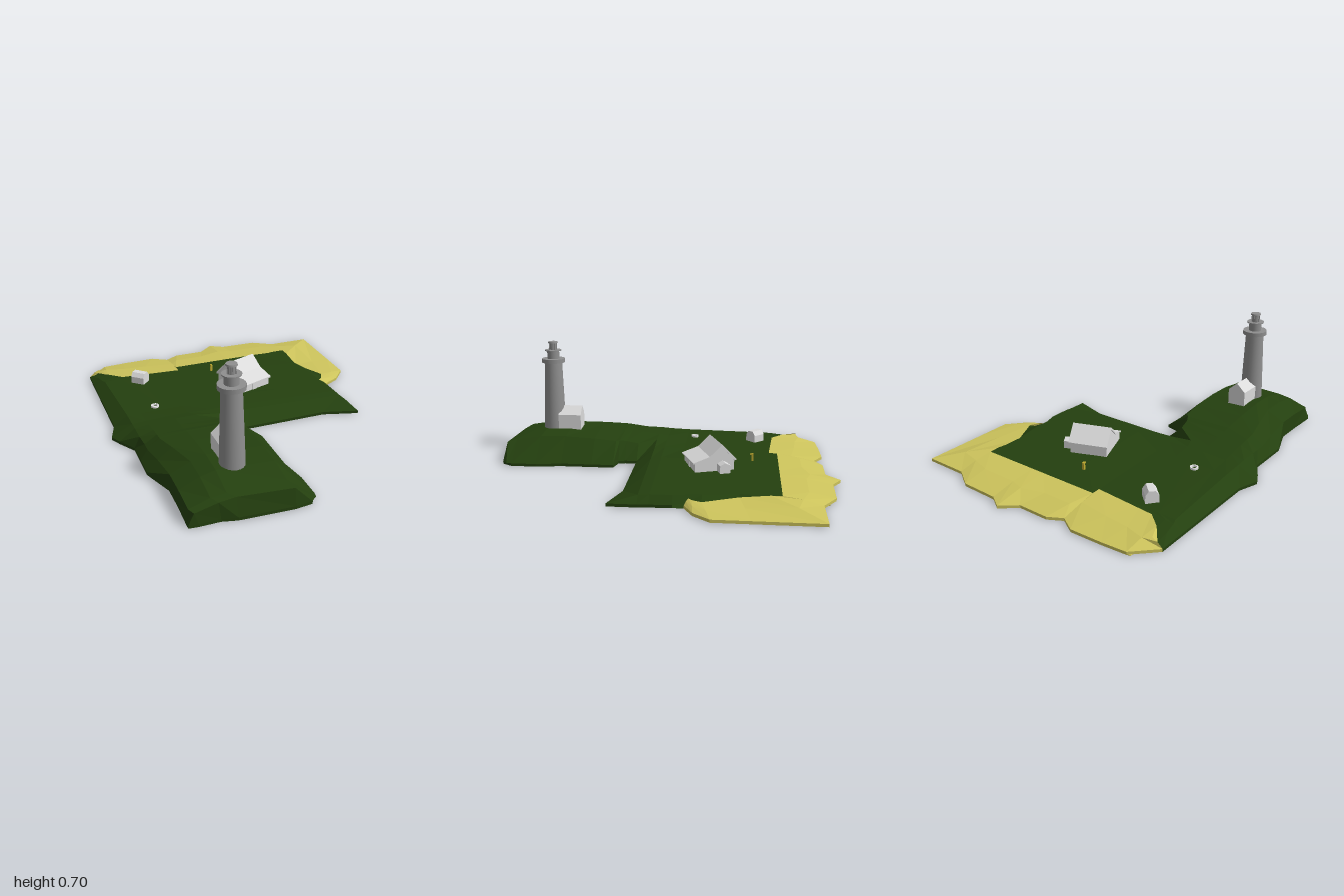
import * as THREE from 'three';

function material(name, color, side = THREE.FrontSide) {
  const m = new THREE.MeshStandardMaterial({ color, side });
  m.name = name;
  return m;
}

// Faceted skin through rows of [x, y, z] points
function skin(rows) {
  const p = [];
  for (let i = 0; i + 1 < rows.length; i++) {
    for (let j = 0; j + 1 < rows[i].length; j++) {
      const a = rows[i][j], b = rows[i + 1][j], c = rows[i + 1][j + 1], d = rows[i][j + 1];
      p.push(...a, ...b, ...c, ...a, ...c, ...d);
    }
  }
  const g = new THREE.BufferGeometry();
  g.setAttribute('position', new THREE.Float32BufferAttribute(p, 3));
  g.computeVertexNormals();
  return g;
}

// Row format: z, then x, y pairs
const toRow = ([z, ...xy]) => xy.filter((_, i) => i % 2 === 0).map((x, i) => [x, xy[2 * i + 1], z]);

// Solid with a gable profile [v, y], running along local x
function prism(profile, length) {
  const shape = new THREE.Shape(profile.map(([v, y]) => new THREE.Vector2(-v, y)));
  return new THREE.ExtrudeGeometry(shape, { depth: length, bevelEnabled: false })
    .translate(0, 0, -length / 2).rotateY(Math.PI / 2);
}

export function createModel() {
  const model = new THREE.Group();
  model.name = 'lighthouseIsland';
  const grass = material('darkGrass', 0x24400f, THREE.DoubleSide);
  const sand = material('sand', 0xcdc45c, THREE.DoubleSide);
  const stone = material('greyStone', 0x8f8f8f);
  const white = material('paleWall', 0xdcdcdc);
  const ring = material('whiteStone', 0xf2f2f2);
  const yellow = material('yellowPaint', 0xc0ac30);

  const add = (name, geometry, mat, x = 0, y = 0, z = 0, ry = 0, parent = model) => {
    const mesh = new THREE.Mesh(geometry, mat);
    mesh.name = name;
    mesh.position.set(x, y, z);
    mesh.rotation.y = ry;
    parent.add(mesh);
    return mesh;
  };

  // West meadow
  const meadow = [
    [-.80, -.76, .02, -.72, .03, -.70, .04, -.70, .04, -.70, .04, -.70, .04],
    [-.71, -.76, .02, -.72, .045, -.66, .05, -.66, .05, -.66, .05, -.66, .05],
    [-.64, -.76, .02, -.71, .055, -.66, .06, -.58, .06, -.58, .06, -.58, .06],
    [-.61, -.76, .02, -.70, .06, -.60, .063, -.49, .06, -.35, .06, -.22, .06],
    [-.10, -.76, .02, -.68, .075, -.60, .075, -.45, .075, -.35, .075, -.22, .075],
    [.02, -.80, .02, -.68, .08, -.60, .085, -.45, .09, -.35, .09, -.22, .085],
    [.08, -.77, .02, -.68, .085, -.60, .095, -.45, .10, -.33, .10, -.20, .085],
    [.18, -.71, .02, -.68, .085, -.60, .11, -.45, .115, -.20, .105, -.11, .02],
  ].map(toRow);
  add('westMeadow', skin(meadow), grass);

  // Raised headland under the tower
  const headland = [
    [.25, -.71, .02, -.67, .075, -.60, .12, -.45, .125, -.19, .12, -.11, .02],
    [.29, -.71, .02, -.67, .075, -.60, .125, -.45, .135, -.17, .13, -.10, .02],
    [.31, -.71, .02, -.67, .075, -.60, .127, -.45, .137, -.15, .13, -.015, .02],
    [.44, -.71, .02, -.65, .08, -.57, .14, -.45, .155, -.14, .145, -.015, .02],
    [.62, -.645, .02, -.64, .10, -.53, .15, -.45, .172, -.14, .155, -.015, .02],
    [.77, -.645, .02, -.64, .10, -.53, .15, -.45, .17, -.14, .152, .01, .02],
    [.92, -.65, .02, -.64, .09, -.53, .125, -.45, .135, -.14, .13, .01, .02],
    [.95, -.65, .02, -.62, .08, -.50, .11, -.41, .12, -.12, .115, .005, .02],
  ].map(toRow);
  const brow = headland.at(-1);
  brow[4][2] = .975;
  const foot = [[-.65, .02, .95], [-.60, .02, .955], [-.49, .02, .955], [-.41, .02, .975],
    [-.12, .02, .99], [-.03, .02, .98]];
  add('headland', skin([meadow.at(-1), ...headland, foot]), grass);

  // East meadow with its sloping bank
  const field = [
    [-.66, -.22, .06, 0, .06, .30, .06, .54, .055, .54, .055],
    [-.44, -.22, .067, 0, .073, .30, .07, .53, .06, .54, .05],
    [-.25, -.22, .072, 0, .075, .30, .07, .56, .06, .63, .03],
    [-.17, -.22, .074, 0, .077, .30, .07, .56, .06, .605, .03],
    [-.10, -.22, .075, 0, .08, .30, .07, .58, .06, .62, .02],
    [.02, -.22, .085, 0, .08, .30, .07, .58, .06, .625, .02],
    [.08, -.20, .085, 0, .075, .30, .065, .58, .055, .63, .02],
    [.18, -.11, .02, -.05, .02, .30, .02, .43, .02, .63, .02],
  ].map(toRow);
  field.at(-1)[4][2] = .24;
  add('eastMeadow', skin(field), grass);

  // Beach: inner x, z and outer x, z pairs
  const beach = [
    [-.70, -.80, -.76, -.80], [-.66, -.71, -.64, -.92], [-.58, -.64, -.50, -.93],
    [-.49, -.61, -.31, -.935], [-.22, -.61, -.22, -.88], [-.22, -.66, -.14, -.925],
    [-.05, -.66, .04, -.925], [.13, -.66, .13, -1], [.21, -.66, .21, -.95],
    [.43, -.66, .43, -.945], [.54, -.66, .55, -.87], [.54, -.60, .80, -.87],
    [.54, -.44, .80, -.50], [.63, -.25, .80, -.30], [.605, -.20, .72, -.21], [.58, -.18, .62, -.16],
  ];
  const band = (t, height) => beach.map(([a, b, c, d], i) =>
    [a + (c - a) * t, i > 11 ? height * .75 : height, b + (d - b) * t]);
  const shore = band(1, .02).map(([x, , z]) => [x, .02, z]);
  const lower = (row) => row.map(([x, , z]) => [x, .004, z]);
  add('beach', skin([shore, band(.5, .047), band(0, .06)]), sand);
  add('beachEdge', skin([lower(shore), shore]), sand);

  // Land edge and underside
  const coast = [
    ...[...meadow, ...headland].map((r) => r[0]), ...foot,
    ...headland.slice(0, -1).reverse().map((r) => r[5]),
    ...field.at(-1), ...field.slice(4, 7).reverse().map((r) => r[4]),
  ];
  add('coastEdge', skin([coast, lower(coast)]), grass);
  const outline = [...coast, ...shore.slice(1).reverse()].map(([x, , z]) => new THREE.Vector2(x, z));
  add('underside', new THREE.ShapeGeometry(new THREE.Shape(outline)).rotateX(Math.PI / 2), grass, 0, .004, 0);
  for (const [x0, x1, zb, zf] of [[.24, .50, -.905, -.77], [-.14, .13, -.88, -.77], [-.66, -.36, -.915, -.84]]) {
    add('sandUnderside', new THREE.BoxGeometry(x1 - x0, .003, zf - zb), sand, (x0 + x1) / 2, .0035, (zb + zf) / 2);
  }

  // Lighthouse: [name, bottom y, top y, bottom radius, top radius]
  const tower = new THREE.Group();
  tower.name = 'lighthouse';
  tower.position.set(-.35, 0, .73);
  model.add(tower);
  for (const [name, y0, y1, r0, r1] of [
    ['towerShaft', .15, .575, .067, .053], ['gallery', .573, .597, .071, .071],
    ['watchRoom', .597, .645, .037, .037], ['upperGallery', .645, .651, .05, .05],
    ['lantern', .651, .695, .022, .022], ['lanternCap', .693, .702, .03, .028],
  ]) {
    add(name, new THREE.CylinderGeometry(r1, r0, y1 - y0, 20), stone, 0, (y0 + y1) / 2, 0, 0, tower);
  }
  for (let i = 0; i < 8; i++) {
    const a = i * Math.PI / 4;
    add('lanternBar', new THREE.BoxGeometry(.004, .044, .004), stone, .023 * Math.cos(a), .672, .023 * Math.sin(a), -a, tower);
  }

  // Annex behind the tower
  add('towerAnnex', prism([[-.055, .14], [.055, .14], [.055, .25], [0, .30], [-.055, .25]], .14),
    white, -.345, 0, .625, Math.PI / 2);

  // Cottage with long front roof
  const cottage = new THREE.Group();
  cottage.name = 'cottage';
  cottage.position.set(.097, 0, -.262);
  cottage.rotation.y = .35;
  model.add(cottage);
  add('cottageWalls', prism([[-.115, .05], [.112, .05], [.112, .125], [.03, .15], [-.042, .212], [-.115, .137]], .215),
    white, 0, 0, 0, 0, cottage);
  add('cottageRoof', prism([[-.125, .128], [-.115, .128], [-.042, .21], [.03, .147], [.125, .118],
    [.125, .126], [.03, .157], [-.042, .222], [-.125, .137]], .228), white, 0, 0, 0, 0, cottage);
  add('cottagePorch', prism([[-.03, .05], [.03, .05], [.03, .115], [0, .13], [-.03, .115]], .055),
    white, .135, 0, -.045, 0, cottage);
  add('cottageDoor', new THREE.BoxGeometry(.032, .06, .006), white, -.01, .095, .113, 0, cottage);

  // Shed with a rounded roof
  add('shed', prism([[-.036, .05], [.036, .05], [.036, .105], [.018, .13], [-.018, .13], [-.036, .105]], .085),
    white, -.493, 0, -.53, -.75);

  // Well ring
  const wellShape = new THREE.Shape().absarc(0, 0, .023, 0, Math.PI * 2);
  wellShape.holes.push(new THREE.Path().absarc(0, 0, .015, 0, Math.PI * 2, true));
  add('wellRing', new THREE.ExtrudeGeometry(wellShape, { depth: .025, bevelEnabled: false, curveSegments: 8 })
    .rotateX(-Math.PI / 2), ring, -.503, .06, -.147);

  // Small yellow pump
  add('pumpPost', new THREE.BoxGeometry(.012, .055, .012), yellow, -.03, .085, -.51);
  add('pumpSpout', new THREE.BoxGeometry(.01, .008, .02), yellow, -.03, .107, -.506);

  return model;
}
